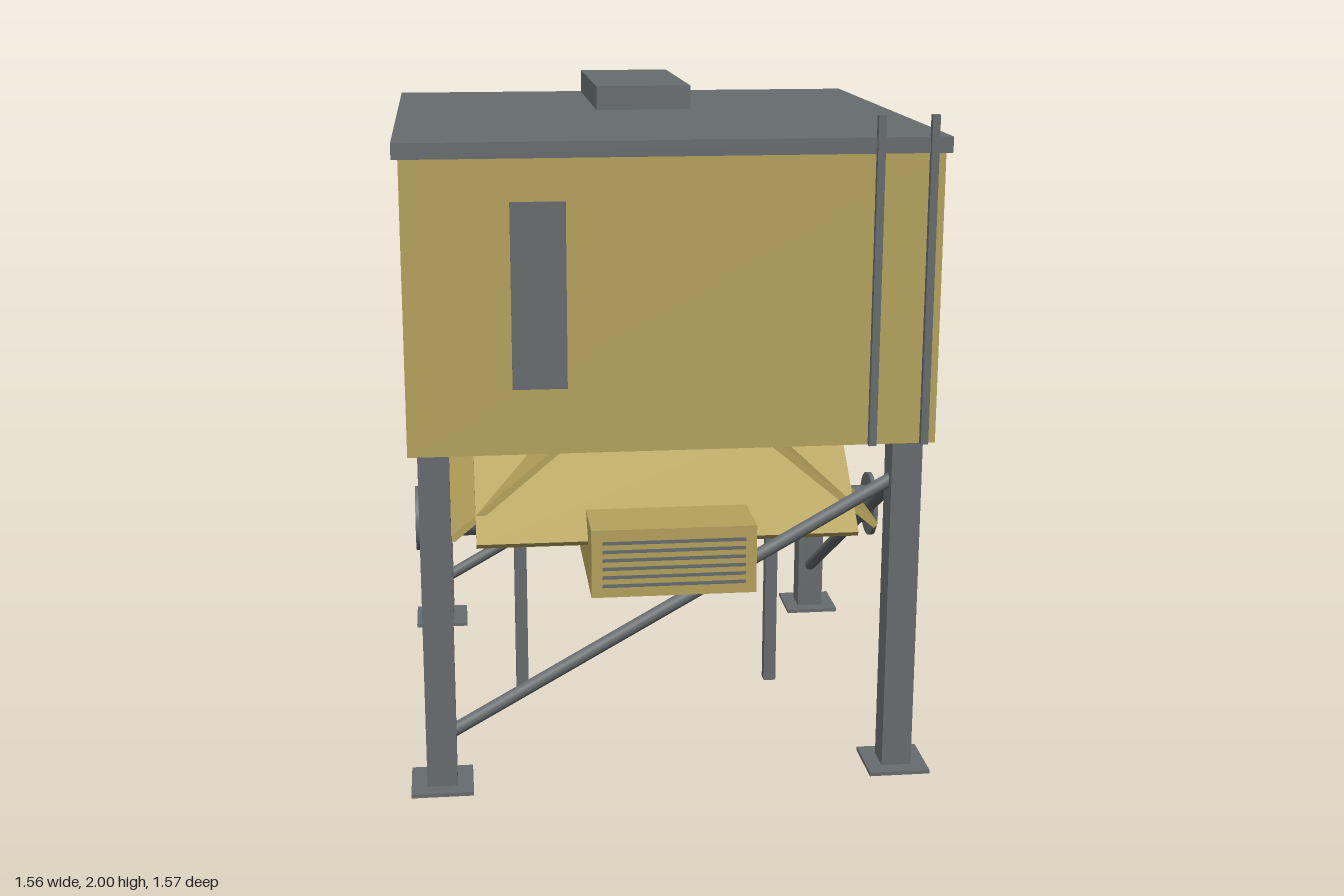
import * as THREE from 'three';

const tan = new THREE.MeshStandardMaterial({ color: 0xb5a25c });
tan.name = 'tan panel';
const grey = new THREE.MeshStandardMaterial({ color: 0x676c6e });
grey.name = 'grey steel';

// Box given by its min and max on each axis
function box(parent, name, mat, [x0, x1], [y0, y1], [z0, z1]) {
  const mesh = new THREE.Mesh(new THREE.BoxGeometry(x1 - x0, y1 - y0, z1 - z0), mat);
  mesh.position.set((x0 + x1) / 2, (y0 + y1) / 2, (z0 + z1) / 2);
  mesh.name = name;
  parent.add(mesh);
  return mesh;
}

// Round bar between two points
function bar(parent, name, mat, a, b, radius, sides = 24) {
  const from = new THREE.Vector3(...a), to = new THREE.Vector3(...b);
  const dir = to.clone().sub(from);
  const mesh = new THREE.Mesh(new THREE.CylinderGeometry(radius, radius, dir.length(), sides), mat);
  mesh.position.copy(from).add(to).multiplyScalar(0.5);
  mesh.quaternion.setFromUnitVectors(new THREE.Vector3(0, 1, 0), dir.normalize());
  mesh.name = name;
  parent.add(mesh);
  return mesh;
}

export function createModel() {
  const model = new THREE.Group();
  model.name = 'raisedHopper';

  // Main housing, roof and roof unit
  box(model, 'housing', tan, [-0.76, 0.76], [1.04, 1.88], [-0.765, 0.765]);
  box(model, 'roof', grey, [-0.778, 0.778], [1.88, 1.925], [-0.782, 0.772]);
  box(model, 'roofUnit', grey, [-0.15, 0.15], [1.925, 2], [-0.755, -0.085]);
  box(model, 'frontPanel', grey, [-0.46, -0.305], [1.23, 1.76], [0.764, 0.769]);

  // Ladder rails
  for (const x of [0.572, 0.724]) {
    box(model, 'ladderRail', grey, [x - 0.011, x + 0.011], [1.04, 1.987], [0.765, 0.785]);
  }

  // Legs with foot plates
  for (const sx of [-1, 1]) for (const sz of [-1, 1]) {
    const x = sx * 0.688, z = sz * 0.688;
    box(model, 'leg', grey, [x - 0.045, x + 0.045], [0, 1.04], [z - 0.045, z + 0.045]);
    box(model, 'footPlate', grey, [x - 0.092, x + 0.092], [0, 0.012], [z - 0.092, z + 0.092]);
  }

  // Diagonal braces, one on each side
  for (const s of [-0.688, 0.688]) {
    bar(model, 'crossBrace', grey, [-0.66, 0.165, s], [0.66, 0.915, s], 0.02);
    bar(model, 'sideBrace', grey, [s, 0.165, -0.66], [s, 0.915, 0.66], 0.02);
  }

  // Four sloping skirt panels under the housing
  for (let i = 0; i < 4; i++) {
    const side = new THREE.Group();
    side.name = 'skirtSide';
    side.rotation.y = i * Math.PI / 2;
    const panel = new THREE.Mesh(new THREE.BoxGeometry(1.14, 0.02, 0.475), tan);
    panel.name = 'skirtPanel';
    panel.position.set(0, 0.879, 0.459);
    panel.rotation.x = THREE.MathUtils.degToRad(40);
    side.add(panel);
    model.add(side);
  }

  // Front and rear vent boxes with grille slats
  box(model, 'frontVentBox', tan, [-0.242, 0.242], [0.6, 0.805], [0.19, 0.765]);
  box(model, 'rearVentBox', tan, [-0.242, 0.242], [0.6, 0.805], [-0.765, -0.46]);
  for (const z of [-0.765, 0.765]) for (let i = 0; i < 6; i++) {
    const y = 0.635 + i * 0.026;
    box(model, 'grilleSlat', grey, [-0.21, 0.21], [y - 0.005, y + 0.005], [z - 0.002, z + 0.002]);
  }
  box(model, 'rearDuct', grey, [-0.15, 0.15], [0.8, 1.04], [-0.745, -0.46]);

  // Central outlet
  box(model, 'outletCollar', grey, [-0.19, 0.19], [0.705, 0.8], [-0.19, 0.19]);
  box(model, 'outletTray', tan, [-0.19, 0.19], [0.632, 0.705], [-0.19, 0.19]);

  // Side pipes with flanges and support posts
  for (const s of [-1, 1]) {
    bar(model, 'sidePipe', grey, [s * 0.422, 0.614, 0], [s * 0.75, 0.614, 0], 0.062, 32);
    bar(model, 'pipeFlange', grey, [s * 0.744, 0.614, 0], [s * 0.758, 0.614, 0], 0.105, 40);
    const x = s * 0.42;
    box(model, 'pipePost', grey, [x - 0.02, x + 0.02], [0, 0.56], [-0.02, 0.02]);
  }
  return model;
}
